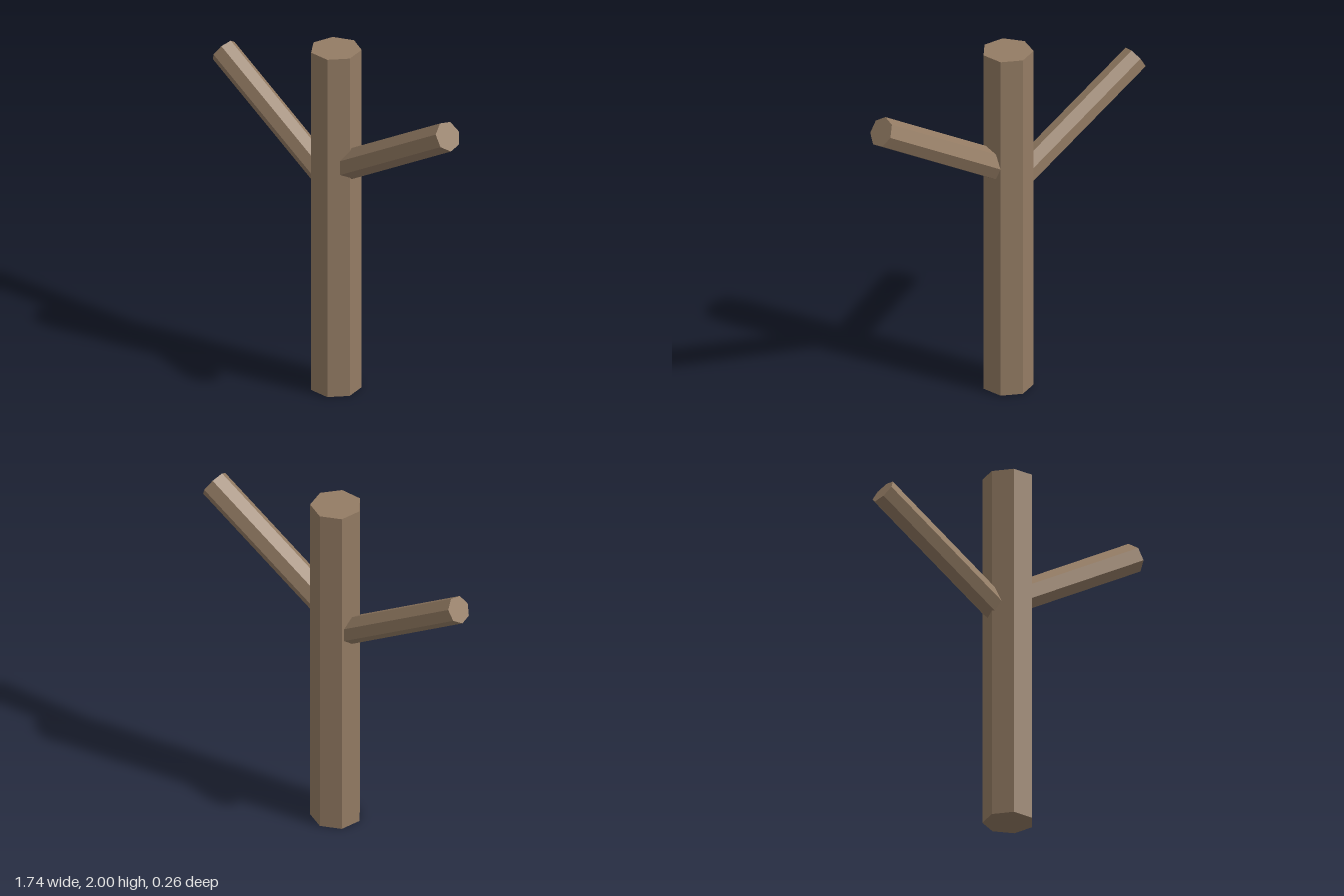
import * as THREE from 'three';

const bark = new THREE.MeshStandardMaterial({ color: 0x947c64, flatShading: true });
bark.name = 'bark';

// Seven-sided limb running between two points; spin turns its facets about its axis
function limb(name, start, end, radius, spin) {
  const from = new THREE.Vector3(...start);
  const axis = new THREE.Vector3(...end).sub(from);
  const length = axis.length();
  const geometry = new THREE.CylinderGeometry(radius, radius, length, 7);
  geometry.rotateY(spin);
  geometry.translate(0, length / 2, 0);
  const mesh = new THREE.Mesh(geometry, bark);
  mesh.name = name;
  mesh.position.copy(from);
  mesh.quaternion.setFromUnitVectors(new THREE.Vector3(0, 1, 0), axis.normalize());
  return mesh;
}

export function createModel() {
  const group = new THREE.Group();
  group.name = 'bareTree';
  group.add(
    // Upright trunk with a flat facet to the front
    limb('trunk', [0.004, 0, 0.006], [0.004, 2, 0.006], 0.138, Math.PI),
    // Two branches rising outwards from inside the trunk
    limb('leftBranch', [0, 1.292, 0.003], [0.833, 1.775, 0.003], 0.082, Math.PI),
    limb('rightBranch', [0, 1.178, 0.003], [-0.832, 1.693, 0.003], 0.075, 0),
  );
  return group;
}
